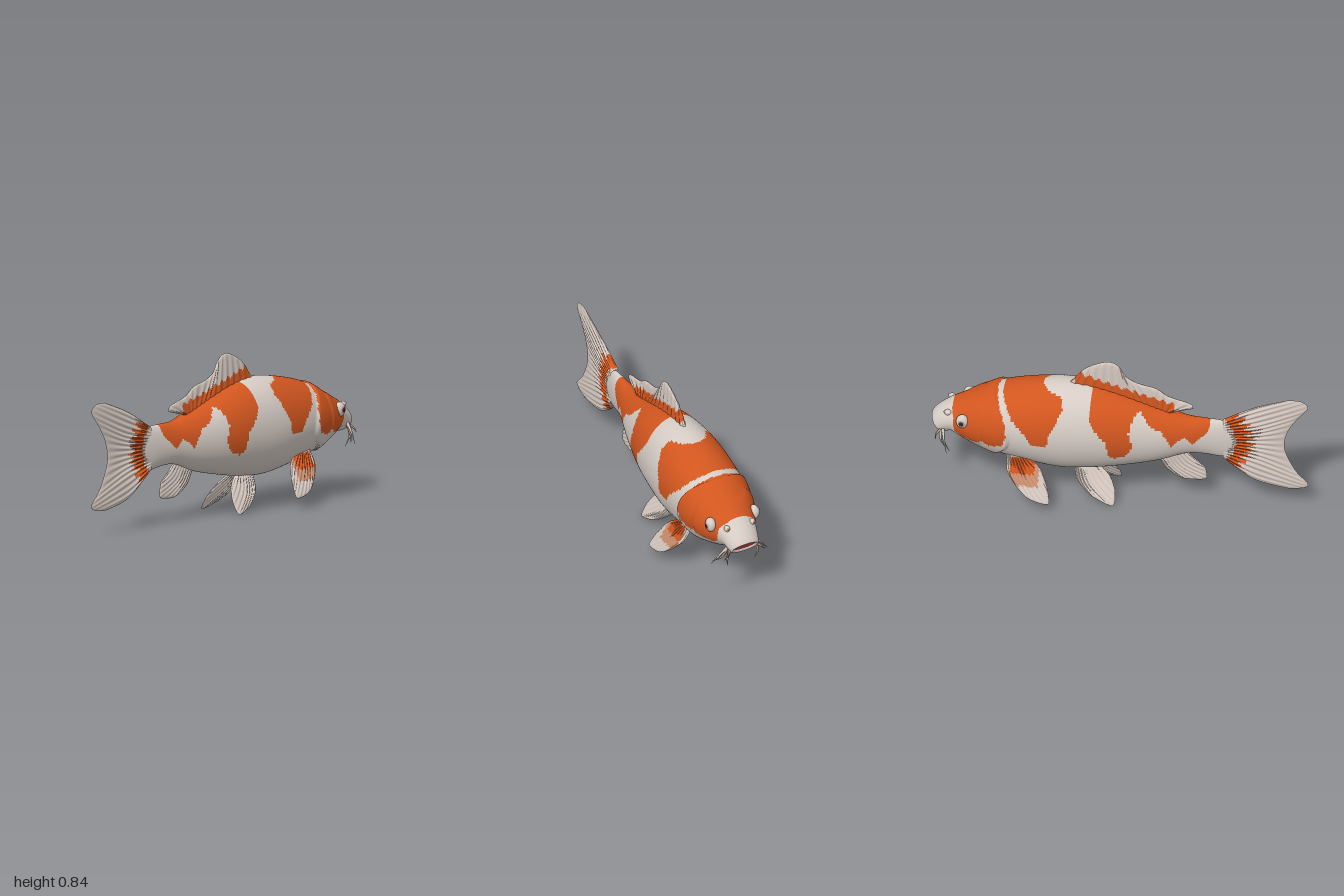
import * as THREE from 'three';

const mat = (name, color, side = THREE.FrontSide) => {
  const m = new THREE.MeshStandardMaterial({ color, side });
  m.name = name;
  return m;
};
const white = mat('white skin', 0xd6ccc5);
const orange = mat('orange skin', 0xd2561f);
const finWhite = mat('fin white', 0xd3c6be);
const pale = mat('pale orange', 0xc98d6e);
const red = mat('mouth red', 0x6a2422);
const dark = mat('pupil dark', 0x2a2426);
const tan = mat('barbel tan', 0xb39683);

const V2 = (p) => new THREE.Vector2(p[0], p[1]);
const V3 = (p) => new THREE.Vector3(p[0], p[1], p[2]);
const step = THREE.MathUtils.smoothstep;

// Turns vertices and quads into a mesh; pick(centre, quad) chooses each face's material
function paintedMesh(name, verts, quads, mats, pick) {
  const lists = mats.map(() => []);
  for (const q of quads) {
    const [a, b, c, d] = q.v;
    const centre = verts[a].clone().add(verts[b]).add(verts[c]).add(verts[d]).multiplyScalar(0.25);
    lists[pick(centre, q)].push(a, b, c, b, d, c);
  }
  const geo = new THREE.BufferGeometry().setFromPoints(verts);
  geo.setIndex(lists.flat());
  let start = 0;
  lists.forEach((l, i) => { geo.addGroup(start, l.length, i); start += l.length; });
  geo.computeVertexNormals();
  const mesh = new THREE.Mesh(geo, mats);
  mesh.name = name;
  return mesh;
}

function inside(poly, x, y) {
  let hit = false;
  for (let i = 0, j = poly.length - 1; i < poly.length; j = i++) {
    const [xi, yi] = poly[i], [xj, yj] = poly[j];
    if ((yi > y) !== (yj > y) && x < ((xj - xi) * (y - yi)) / (yj - yi) + xi) hit = !hit;
  }
  return hit;
}

// Orange patches in side projection
const patches = [
  [[0.43, 0.8], [0.43, 0.69], [0.36, 0.672], [0.29, 0.655], [0.285, 0.61], [0.325, 0.525], [0.36, 0.455], [0.35, 0.415],
    [0.39, 0.39], [0.445, 0.405], [0.49, 0.47], [0.55, 0.525], [0.6, 0.61], [0.625, 0.645], [0.63, 0.8]],
  [[0.14, 0.8], [0.14, 0.68], [0.145, 0.58], [0.105, 0.5], [0.05, 0.435], [0.04, 0.35], [0.01, 0.325], [-0.045, 0.34],
    [-0.09, 0.405], [-0.065, 0.49], [-0.09, 0.575], [-0.12, 0.59], [-0.18, 0.51], [-0.235, 0.49], [-0.285, 0.39],
    [-0.325, 0.43], [-0.355, 0.445], [-0.395, 0.4], [-0.43, 0.435], [-0.475, 0.475], [-0.485, 0.53], [-0.485, 0.8]],
  [[0.655, 0.8], [0.655, 0.645], [0.625, 0.58], [0.588, 0.51], [0.578, 0.435], [0.6, 0.375], [0.675, 0.35], [0.715, 0.38],
    [0.745, 0.35], [0.82, 0.35], [0.865, 0.38], [0.875, 0.435], [0.87, 0.46], [0.885, 0.49], [0.885, 0.8]],
];
const tailOrange = (x, y) => {
  const dx = x + 0.45, dy = y - 0.415, r = Math.hypot(dx, dy);
  return r > 0.17 && r < 0.245 + 0.025 * Math.sin(Math.atan2(dy, dx) * 38) && x < -0.5;
};

// Body: oval rings from tail root to snout, folding back into the mouth
// [x, top, bottom, half width, forward lean]
const stations = [
  [-0.66, 0.43, 0.40, 0.004, 0], [-0.62, 0.50, 0.33, 0.02, 0], [-0.55, 0.53, 0.30, 0.034, 0], [-0.45, 0.535, 0.31, 0.05, 0],
  [-0.35, 0.54, 0.305, 0.073, 0], [-0.2, 0.585, 0.25, 0.115, 0], [0, 0.652, 0.205, 0.165, 0], [0.15, 0.688, 0.18, 0.187, 0],
  [0.3, 0.695, 0.17, 0.2, 0], [0.45, 0.675, 0.19, 0.2, 0], [0.6, 0.64, 0.222, 0.188, 0], [0.7, 0.6, 0.25, 0.17, 0],
  [0.8, 0.55, 0.285, 0.14, 0], [0.86, 0.518, 0.312, 0.118, 0.08], [0.9, 0.49, 0.33, 0.102, 0.22], [0.94, 0.45, 0.325, 0.09, 0.5],
  [0.965, 0.42, 0.32, 0.081, 0.65], [0.97, 0.408, 0.33, 0.071, 0.7], [0.955, 0.397, 0.345, 0.057, 0.7],
  [0.9, 0.39, 0.34, 0.045, 0.5], [0.88, 0.37, 0.36, 0.003, 0.3],
];
function makeBody() {
  const shape = new THREE.CatmullRomCurve3(stations.map(V3), false, 'catmullrom');
  const extra = new THREE.CatmullRomCurve3(stations.map((s) => new THREE.Vector3(s[3], s[4], 0)), false, 'catmullrom');
  const per = 16, rings = (stations.length - 1) * per, around = 88;
  const verts = [], quads = [];
  for (let i = 0; i <= rings; i++) {
    const s = shape.getPoint(i / rings), e = extra.getPoint(i / rings);
    const cy = (s.y + s.z) / 2, hh = (s.y - s.z) / 2;
    for (let j = 0; j < around; j++) {
      const a = (j / around) * Math.PI * 2, c = Math.cos(a), n = Math.sin(a);
      let y = cy + hh * c;
      const x = s.x + e.y * (y - cy);
      // raised gill cover and cheek plate
      const edge = 0.56 + (y > 0.4 ? 2 : 6) * (y - 0.4) ** 2;
      let lift = 0.013 * step(x - edge, 0, 0.016) * (1 - step(x, 0.62, 0.85)) * (1 - step(y, 0.6, 0.64));
      lift += 0.007 * step(x, 0.705, 0.722) * (1 - step(x, 0.76, 0.86)) * step(y, 0.34, 0.37) * (1 - step(y, 0.53, 0.56));
      y += lift * c;
      verts.push(new THREE.Vector3(x, y, e.x * n + lift * n));
      const k = (j + 1) % around;
      if (i < rings) quads.push({ i, v: [i * around + j, i * around + k, (i + 1) * around + j, (i + 1) * around + k] });
    }
  }
  return paintedMesh('body', verts, quads, [white, orange, red], (p, q) => {
    if (q.i >= 17.7 * per) return 2;
    return tailOrange(p.x, p.y) || patches.some((poly) => inside(poly, p.x, p.y)) ? 1 : 0;
  });
}

// Fin: two ribbed sheets spanned between root, middle and tip curves
function makeFin(name, curves, { rays, thick, side = 1, lean = () => 0, pick = () => 0 }) {
  const lines = curves.map((c) => new THREE.SplineCurve(c.map(V2)));
  const nu = rays * 8, nv = 22, verts = [], quads = [];
  const at = (u, v) => new THREE.SplineCurve(lines.map((l) => l.getPoint(u))).getPoint(v);
  const o = at(0.5, 0.4), du = at(0.52, 0.4).sub(o), dv = at(0.5, 0.44).sub(o);
  const turn = Math.sign(du.cross(dv));
  for (const s of [1, -1]) {
    const base = verts.length;
    for (let i = 0; i <= nu; i++) {
      const u = i / nu;
      const ray = new THREE.SplineCurve(lines.map((l) => l.getPoint(u)));
      for (let j = 0; j <= nv; j++) {
        const v = j / nv, p = ray.getPoint(v);
        const rim = Math.sqrt(Math.max(0, (1 - (2 * u - 1) ** 8) * (1 - v ** 10)));
        const rib = 1 + 0.22 * Math.cos(u * rays * Math.PI * 2) * Math.min(1, v * 4);
        const h = THREE.MathUtils.lerp(thick[0], thick[1], v) * rim * rib;
        verts.push(new THREE.Vector3(p.x, p.y, s * h + side * lean(p.y)));
        if (i < nu && j < nv) {
          const a = base + i * (nv + 1) + j, b = a + nv + 1;
          quads.push({ outer: s === side, v: turn * s > 0 ? [a, b, a + 1, b + 1] : [a, a + 1, b, b + 1] });
        }
      }
    }
  }
  return paintedMesh(name, verts, quads, [finWhite, orange, pale], pick);
}

// Tapered whisker
function makeBarbel(points, side, material) {
  const path = new THREE.CatmullRomCurve3(points.map((p) => new THREE.Vector3(p[0], p[1], p[2] * side)));
  const n = 16, r = 8, geo = new THREE.TubeGeometry(path, n, 0.009, r);
  const pos = geo.attributes.position, v = new THREE.Vector3();
  for (let k = 0; k < pos.count; k++) {
    const t = Math.floor(k / (r + 1)) / n;
    v.fromBufferAttribute(pos, k).lerp(path.getPointAt(t), t * 0.9);
    pos.setXYZ(k, v.x, v.y, v.z);
  }
  geo.computeVertexNormals();
  const mesh = new THREE.Mesh(geo, material);
  mesh.name = 'barbel';
  return mesh;
}

function ball(name, material, p, sx, sy, sz) {
  const mesh = new THREE.Mesh(new THREE.SphereGeometry(1, 28, 18), material);
  mesh.name = name;
  mesh.position.set(...p);
  mesh.scale.set(sx, sy, sz);
  return mesh;
}

export function createModel() {
  const fish = new THREE.Group();
  fish.name = 'fish';
  fish.add(makeBody());

  fish.add(makeFin('tailFin', [
    [[-0.55, 0.535], [-0.56, 0.415], [-0.55, 0.295]],
    [[-0.72, 0.635], [-0.74, 0.52], [-0.725, 0.415], [-0.74, 0.3], [-0.71, 0.17]],
    [[-0.9, 0.705], [-0.97, 0.7], [-1, 0.66], [-0.945, 0.585], [-0.895, 0.5], [-0.875, 0.415], [-0.89, 0.34],
      [-0.94, 0.24], [-1, 0.17], [-0.98, 0.14], [-0.9, 0.125]],
  ], { rays: 18, thick: [0.026, 0.004], pick: (p) => (tailOrange(p.x, p.y) ? 1 : 0) }));

  fish.add(makeFin('dorsalFin', [
    [[0.28, 0.68], [0.1, 0.66], [-0.1, 0.605], [-0.22, 0.565], [-0.28, 0.56]],
    [[0.24, 0.72], [0.19, 0.785], [0.125, 0.825], [0.06, 0.845], [0.01, 0.825], [-0.025, 0.765], [-0.09, 0.725],
      [-0.19, 0.7], [-0.26, 0.655], [-0.375, 0.62], [-0.39, 0.59]],
  ], {
    rays: 16, thick: [0.019, 0.008],
    pick: (p) => (p.x > -0.29 && p.x < 0.24 && p.y < 0.64 + (p.x + 0.2) * 0.29 + 0.01 * Math.sin(p.x * 130) ? 1 : 0),
  }));

  fish.add(makeFin('analFin', [
    [[-0.2, 0.27], [-0.34, 0.32]],
    [[-0.245, 0.19], [-0.32, 0.21], [-0.4, 0.265]],
    [[-0.29, 0.155], [-0.34, 0.13], [-0.39, 0.128], [-0.455, 0.138], [-0.462, 0.17], [-0.455, 0.21], [-0.44, 0.23]],
  ], { rays: 9, thick: [0.013, 0.007] }));

  for (const side of [1, -1]) {
    const label = side > 0 ? 'left' : 'right';
    fish.add(makeFin(label + 'PectoralFin', [
      [[0.58, 0.29], [0.49, 0.28]],
      [[0.58, 0.21], [0.47, 0.17], [0.405, 0.225]],
      [[0.535, 0.145], [0.47, 0.09], [0.41, 0.068], [0.345, 0.063], [0.345, 0.1], [0.36, 0.15]],
    ], {
      rays: 9, thick: [0.017, 0.007], side, lean: (y) => 0.128 + (0.27 - y) * 0.6,
      pick: (p, q) => {
        if (!q.outer || p.x < 0.405 || p.x > 0.56 || p.y < 0.14 || p.y > 0.27) return 0;
        return p.y > 0.195 && p.x > 0.43 ? 1 : 2;
      },
    }));
    fish.add(makeFin(label + 'PelvicFin', [
      [[0.24, 0.195], [0.12, 0.195]],
      [[0.22, 0.115], [0.14, 0.1], [0.055, 0.148]],
      [[0.17, 0.065], [0.125, 0.035], [0.04, 0.003], [0.012, 0.012], [0.012, 0.07], [0.035, 0.125]],
    ], { rays: 9, thick: [0.015, 0.007], side, lean: (y) => 0.035 + (0.17 - y) * 0.58 }));

    // eyes and nostrils
    fish.add(ball('eye', white, [0.82, 0.462, side * 0.128], 0.034, 0.04, 0.027));
    fish.add(ball('iris', tan, [0.822, 0.462, side * 0.145], 0.02, 0.022, 0.013));
    fish.add(ball('pupil', dark, [0.823, 0.462, side * 0.149], 0.014, 0.015, 0.012));
    fish.add(ball('nostril', white, [0.905, 0.472, side * 0.074], 0.02, 0.016, 0.016));
    fish.add(ball('nostrilHole', pale, [0.917, 0.476, side * 0.076], 0.011, 0.008, 0.008));

    // whiskers beside the mouth
    fish.add(makeBarbel([[0.93, 0.37, 0.085], [0.92, 0.33, 0.12], [0.9, 0.27, 0.165]], side, finWhite));
    fish.add(makeBarbel([[0.945, 0.355, 0.08], [0.94, 0.3, 0.09], [0.92, 0.245, 0.077]], side, finWhite));
    fish.add(makeBarbel([[0.93, 0.36, 0.085], [0.92, 0.31, 0.115], [0.885, 0.275, 0.15]], side, tan));
    fish.add(makeBarbel([[0.945, 0.36, 0.08], [0.965, 0.34, 0.1], [0.965, 0.32, 0.118]], side, tan));
  }
  return fish;
}
